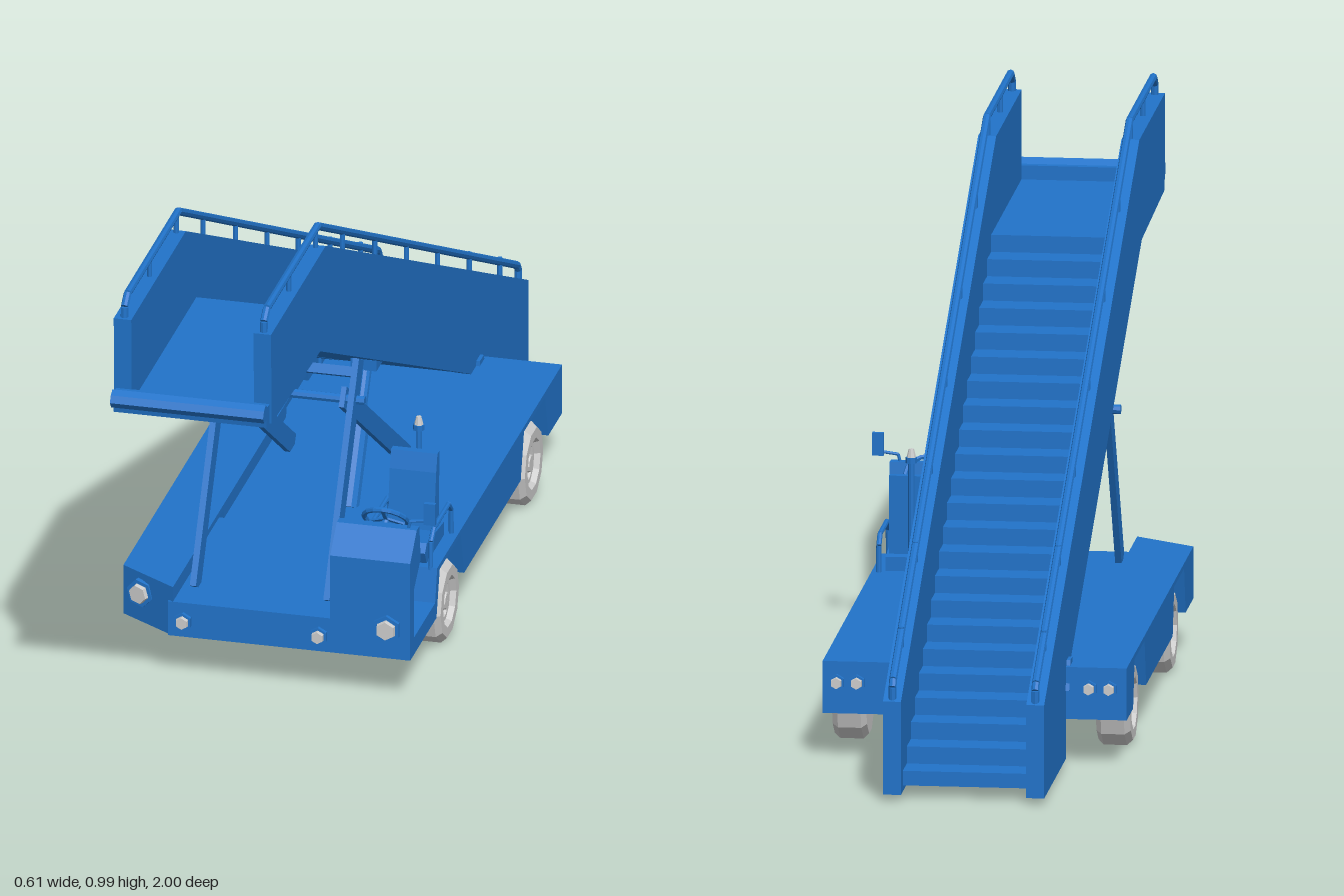
import * as THREE from 'three';

const blue = new THREE.MeshStandardMaterial({ color: 0x2173c9, flatShading: true });
const grey = new THREE.MeshStandardMaterial({ color: 0xcccccc, flatShading: true });
const V = (x, y, z) => new THREE.Vector3(x, y, z);

export function createModel() {
  const root = new THREE.Group();
  let group = root;
  const part = (name) => {
    group = new THREE.Group();
    group.name = name;
    root.add(group);
  };
  const add = (name, geo, mat = blue) => {
    const m = new THREE.Mesh(geo, mat);
    m.name = name;
    group.add(m);
    return m;
  };
  // Box given by its limits on each axis
  const box = (name, x0, x1, y0, y1, z0, z1, mat) =>
    add(name, new THREE.BoxGeometry(x1 - x0, y1 - y0, z1 - z0)
      .translate((x0 + x1) / 2, (y0 + y1) / 2, (z0 + z1) / 2), mat);
  // Side profile of [z, y] points, extruded from x0 to x1
  const slab = (name, pts, x0, x1, mat) => {
    const shape = new THREE.Shape(pts.map(([z, y]) => new THREE.Vector2(z, y)));
    const geo = new THREE.ExtrudeGeometry(shape, { depth: x1 - x0, bevelEnabled: false });
    return add(name, geo.rotateY(-Math.PI / 2).translate(x1, 0, 0), mat);
  };
  // Flat bar between two [z, y] points
  const bar = (name, [z0, y0], [z1, y1], w, x0, x1) => {
    const l = Math.hypot(z1 - z0, y1 - y0);
    const a = (-(y1 - y0) / l) * w / 2, b = ((z1 - z0) / l) * w / 2;
    slab(name, [[z0 + a, y0 + b], [z1 + a, y1 + b], [z1 - a, y1 - b], [z0 - a, y0 - b]], x0, x1);
  };
  // Round rod between two points
  const rod = (name, p, q, r, sides = 8, mat = blue, r2 = r) => {
    const d = q.clone().sub(p);
    const m = add(name, new THREE.CylinderGeometry(r2, r, d.length(), sides), mat);
    m.position.copy(p).addScaledVector(d, 0.5);
    m.quaternion.setFromUnitVectors(V(0, 1, 0), d.normalize());
    return m;
  };
  const rail = (name, pts, r) => {
    for (let i = 1; i < pts.length; i++) rod(name, pts[i - 1], pts[i], r);
  };

  // Chassis: raised side decks with wheel cut-outs around a lower middle deck
  part('chassis');
  const arch = (z) => [[z - 0.105, 0.095], [z - 0.08, 0.185], [z + 0.08, 0.185], [z + 0.105, 0.095]];
  const underside = [[-0.65, 0.095], ...arch(-0.44), ...arch(0.2)];
  box('middleDeck', -0.2, 0.2, 0.095, 0.165, -0.65, 0.505);
  slab('rightDeck', [...underside, [0.43, 0.095], [0.43, 0.195], [-0.65, 0.195]], -0.305, -0.19);
  slab('leftDeck', [...underside, [0.505, 0.095], [0.505, 0.13], [0.315, 0.13],
    [0.3, 0.195], [-0.65, 0.195]], 0.115, 0.27);
  const corner = new THREE.Shape([[-0.305, -0.43], [-0.19, -0.505], [-0.19, -0.43]]
    .map(([x, y]) => new THREE.Vector2(x, y)));
  add('chamferedCorner', new THREE.ExtrudeGeometry(corner, { depth: 0.1, bevelEnabled: false })
    .rotateX(-Math.PI / 2).translate(0, 0.095, 0));
  // Lamps
  const lamp = (name, p, dir, r) => {
    rod(name + 'Rim', p, p.clone().addScaledVector(dir, 0.01), r, 6);
    rod(name, p, p.clone().addScaledVector(dir, 0.018), r * 0.82, 6, grey, r * 0.65);
  };
  lamp('headlamp', V(-0.262, 0.157, 0.458), V(-0.3, 0, 1).normalize(), 0.028);
  lamp('headlamp', V(0.225, 0.157, 0.503), V(0, 0, 1), 0.028);
  for (const x of [-0.17, 0.093]) lamp('markerLamp', V(x, 0.128, 0.503), V(0, 0, 1), 0.018);
  for (const x of [-0.272, -0.234, 0.205, 0.243]) lamp('tailLamp', V(x, 0.155, -0.648), V(0, 0, -1), 0.016);

  // Wheels, lathed with a dished rim
  part('wheels');
  const profile = [[0.001, -0.032], [0.07, -0.032], [0.08, -0.022], [0.08, 0.022], [0.07, 0.033],
    [0.05, 0.033], [0.045, 0.022], [0.036, 0.022], [0.032, 0.015], [0.02, 0.015], [0.016, 0.028], [0.001, 0.028]]
    .map(([r, y]) => new THREE.Vector2(r, y));
  for (const [x, side] of [[0.236, 1], [-0.262, -1]])
    for (const z of [0.2, -0.44]) {
      const w = add('wheel', new THREE.LatheGeometry(profile, 10), grey);
      w.rotation.z = -side * Math.PI / 2;
      w.position.set(x, 0.083, z);
      rod('axle', V(x - side * 0.08, 0.11, z), V(x - side * 0.02, 0.083, z), 0.015, 8, grey);
    }

  // Open driver's cab
  part('cab');
  slab('frontPanel', [[0.505, 0.095], [0.505, 0.295], [0.455, 0.342], [0.435, 0.342], [0.425, 0.27],
    [0.475, 0.23], [0.475, 0.125], [0.46, 0.095]], 0.115, 0.27);
  slab('innerWall', [[0.3, 0.13], [0.48, 0.13], [0.48, 0.25], [0.44, 0.23], [0.32, 0.22], [0.3, 0.195]], 0.115, 0.127);
  rod('steeringColumn', V(0.193, 0.26, 0.45), V(0.193, 0.325, 0.39), 0.007);
  const wheel = add('steeringWheel', new THREE.TorusGeometry(0.042, 0.005, 6, 16));
  wheel.position.set(0.193, 0.328, 0.388);
  wheel.rotation.x = 0.75;
  for (const a of [0, 1, 2]) {
    const spoke = add('steeringSpoke', new THREE.BoxGeometry(0.04, 0.007, 0.004).translate(0.02, 0, 0));
    spoke.position.copy(wheel.position);
    spoke.rotation.set(0.75, 0, Math.PI / 2 + a * Math.PI * 2 / 3);
  }
  rod('mirrorArm', V(0.25, 0.335, 0.445), V(0.255, 0.355, 0.445), 0.003);
  rod('mirrorArm', V(0.255, 0.355, 0.445), V(0.292, 0.36, 0.445), 0.003);
  box('mirror', 0.282, 0.304, 0.352, 0.396, 0.44, 0.449);

  part('driverSeat');
  slab('seatCushion', [[0.15, 0.19], [0.28, 0.19], [0.295, 0.22], [0.28, 0.235], [0.15, 0.222]], 0.145, 0.245);
  slab('seatBack', [[0.17, 0.2], [0.21, 0.21], [0.19, 0.34], [0.18, 0.375], [0.165, 0.375]], 0.15, 0.24);
  for (const x of [0.138, 0.256])
    rail('sideHoop', [V(x, 0.19, 0.297), V(x, 0.245, 0.293), V(x, 0.264, 0.27), V(x, 0.264, 0.16),
      V(x, 0.245, 0.14), V(x, 0.19, 0.137)], 0.005);
  rod('beaconPole', V(0.195, 0.19, 0.145), V(0.195, 0.415, 0.145), 0.006);
  rod('beaconBase', V(0.195, 0.405, 0.145), V(0.195, 0.416, 0.145), 0.011);
  rod('beacon', V(0.195, 0.416, 0.145), V(0.195, 0.432, 0.145), 0.009, 8, grey, 0.005);

  // Staircase: two side panels holding treads and an upper landing
  part('staircase');
  const panel = [[0.95, 0.765], [0.955, 0.95], [0.54, 0.95], [-1, 0.197], [-1, 0.018],
    [-0.645, 0.018], [-0.645, 0.157], [0.58, 0.75]];
  slab('sidePanel', panel, -0.19, -0.156);
  slab('sidePanel', panel, 0.081, 0.115);
  const steps = 22, run = 1.43 / steps, rise = 0.72 / steps;
  const treads = [[0.95, 0.766], [0.95, 0.778], [0.46, 0.778]];
  for (let i = steps; i > 0; i--) {
    const z = -0.97 + i * run, y = 0.058 + i * rise;
    treads.push([z, y - rise], [z - run, y - rise]);
  }
  treads.push([-0.97, 0.03], [-0.91, 0.03], [-0.645, 0.158], [0.58, 0.7515]);
  slab('stepsAndLanding', treads, -0.157, 0.082);
  slab('landingBumper', [[0.95, 0.765], [0.972, 0.765], [0.975, 0.782], [0.99, 0.782], [1, 0.795],
    [0.993, 0.808], [0.98, 0.815], [0.965, 0.805], [0.95, 0.805]], -0.186, 0.111);

  // Handrails on short posts
  part('handrails');
  const slope = (0.95 - 0.197) / 1.54;
  for (const x of [-0.172, 0.098]) {
    rail('handrail', [V(x, 0.94, 0.943), V(x, 0.97, 0.942), V(x, 0.988, 0.92), V(x, 0.988, 0.537),
      V(x, 0.235, -0.98), V(x, 0.222, -0.99), V(x, 0.18, -0.99)], 0.0075);
    for (const z of [0.753, 0.55, 0.346, 0.1, -0.14, -0.377, -0.618, -0.85]) {
      const y = 0.95 - Math.max(0, 0.54 - z) * slope;
      rod('post', V(x, y - 0.01, z), V(x, y + 0.038, z), 0.005);
    }
  }

  // Lifting frame under the stairs
  part('liftFrame');
  for (const x of [-0.172, 0.087]) bar('frontLeg', [0.43, 0.165], [0.205, 0.565], 0.042, x, x + 0.012);
  for (const x of [-0.154, 0.069]) bar('rearLeg', [0.25, 0.505], [-0.24, 0.165], 0.04, x, x + 0.01);
  rod('upperCrossRod', V(-0.19, 0.497, 0.24), V(0.115, 0.497, 0.24), 0.009);
  bar('topCrossBar', [0.222, 0.535], [0.213, 0.551], 0.03, -0.165, 0.09);
  rod('liftCylinder', V(0.02, 0.16, 0), V(0.02, 0.315, -0.09), 0.022, 12);
  rod('liftPiston', V(0.02, 0.31, -0.087), V(0.02, 0.405, -0.143), 0.013, 12);
  box('pistonMount', -0.005, 0.045, 0.39, 0.412, -0.165, -0.12);
  for (const x of [-0.197, 0.109]) {
    slab('rearPivotBracket', [[-0.6, 0.16], [-0.605, 0.205], [-0.635, 0.205], [-0.655, 0.15]], x, x + 0.013);
  }
  return root;
}
